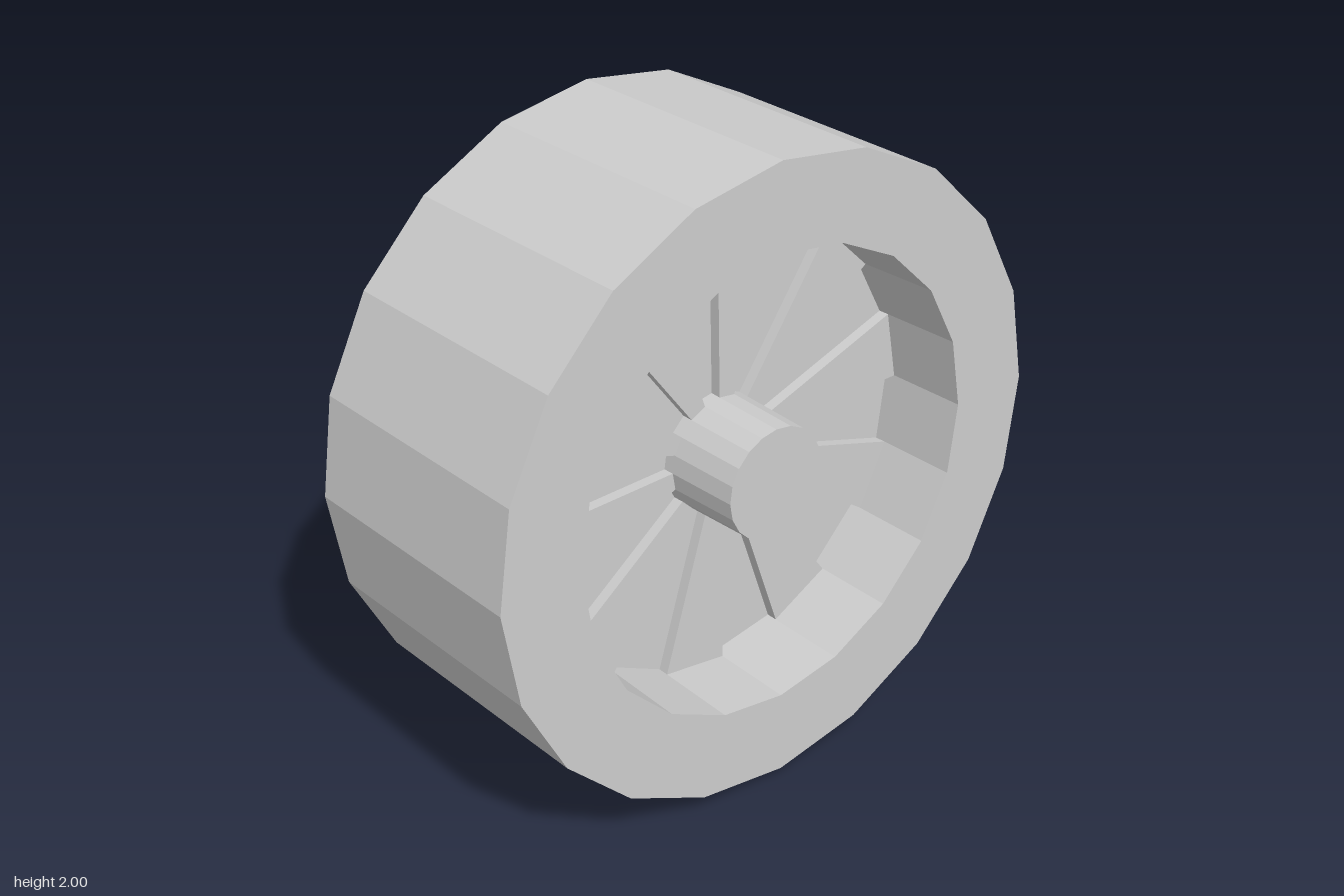
import * as THREE from 'three';

const SIDES = 20;
const HALF = 0.413;
const R_TIRE = 0.99, R_RIM = 0.72, R_HUB = 0.175;
const DRAFT = 0.01; // slight taper of the rim bore and the hub

// Corner k of the 20-sided outline, counted from the top
const corner = (r, k) => {
  const a = (k / SIDES) * Math.PI * 2;
  return new THREE.Vector2(r * Math.sin(a), r * Math.cos(a));
};

// Turns a profile of [radius, x] points around the axle (x)
function turned(profile) {
  const points = profile.map(([r, x]) => new THREE.Vector2(r, x));
  return new THREE.LatheGeometry(points, SIDES).rotateZ(-Math.PI / 2);
}

// Wedge number k between hub and rim, from x0 to x1 along the axle
function wedge(k, x0, x1) {
  const shape = new THREE.Shape([
    corner(R_HUB, k), corner(R_RIM, k), corner(R_RIM, k + 1), corner(R_HUB, k + 1),
  ]);
  const geo = new THREE.ExtrudeGeometry(shape, { depth: x1 - x0, bevelEnabled: false });
  return geo.translate(0, 0, x0).rotateY(Math.PI / 2);
}

export function createModel() {
  const gray = new THREE.MeshStandardMaterial({ color: 0xcccccc });
  gray.name = 'plain gray';
  gray.flatShading = true;

  const wheel = new THREE.Group();
  wheel.name = 'wheel';
  const add = (name, geo) => {
    const mesh = new THREE.Mesh(geo, gray);
    mesh.name = name;
    wheel.add(mesh);
  };

  // Broad outer ring with its bore
  add('rim', turned([
    [R_TIRE, -HALF], [R_TIRE, HALF], [R_RIM, HALF],
    [R_RIM - DRAFT, 0], [R_RIM, -HALF], [R_TIRE, -HALF],
  ]));

  // Hub, ending a little inside both rim faces
  add('hub', turned([
    [0, -0.35], [R_HUB, -0.35], [R_HUB + DRAFT, 0], [R_HUB, 0.39], [0, 0.39],
  ]));

  // Wedges alternating between thick spokes and slightly recessed webs
  for (let k = 0; k < SIDES; k += 2) {
    add('spoke', wedge(k, -0.155, 0.15));
    add('web', wedge(k + 1, -0.1, 0.115));
  }

  // Slight lean of the whole wheel
  wheel.rotation.z = 0.025;
  wheel.position.y = 1;

  const model = new THREE.Group();
  model.name = 'leaningWheel';
  model.add(wheel);
  return model;
}
